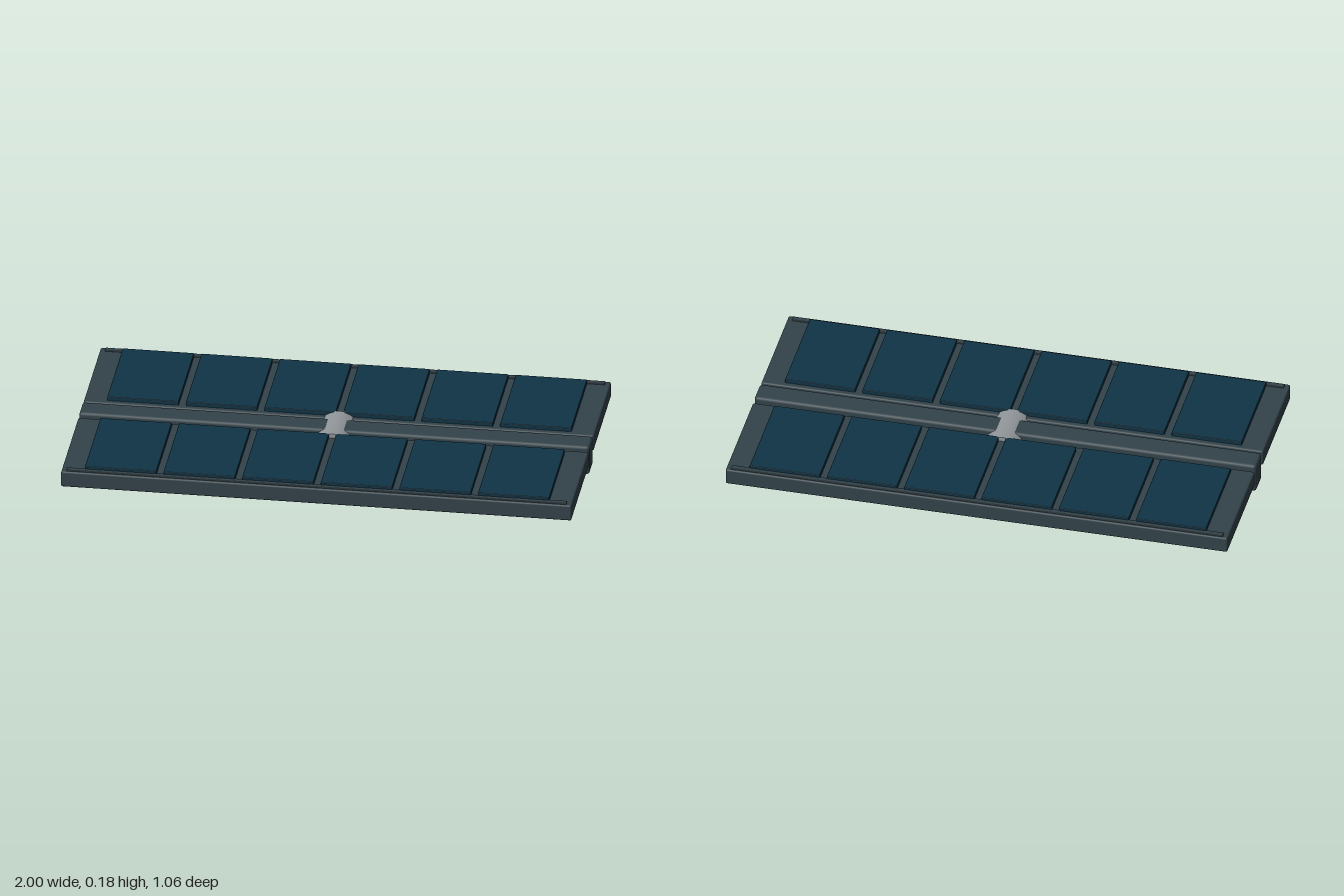
import * as THREE from 'three';
import { RoundedBoxGeometry } from 'three/addons/geometries/RoundedBoxGeometry.js';

const material = (name, color) => {
  const m = new THREE.MeshStandardMaterial({ color });
  m.name = name;
  return m;
};

export function createModel() {
  const frameGrey = material('frame slate', 0x33434a);
  const cellBlue = material('cell blue', 0x0f3446);
  const hubGrey = material('hub grey', 0x92979b);
  const model = new THREE.Group();
  model.name = 'solarArray';

  // Rounded box given by its limits on each axis
  const block = (parent, name, mat, [x0, x1], [y0, y1], [z0, z1], radius) => {
    const mesh = new THREE.Mesh(new RoundedBoxGeometry(x1 - x0, y1 - y0, z1 - z0, 2, radius), mat);
    mesh.position.set((x0 + x1) / 2, (y0 + y1) / 2, (z0 + z1) / 2);
    mesh.name = name;
    parent.add(mesh);
  };

  // Central spar
  block(model, 'spar', frameGrey, [-1, 1], [0.052, 0.174], [-0.049, 0.049], 0.012);

  // Hub drum lying along z
  const hub = new THREE.Mesh(new THREE.CylinderGeometry(0.091, 0.091, 0.196, 32), hubGrey);
  hub.name = 'hub';
  hub.rotation.x = Math.PI / 2;
  hub.position.y = 0.091;
  model.add(hub);

  // Two mirrored wings, each with a frame, an outer rail and six cells
  for (const side of [1, -1]) {
    const wing = new THREE.Group();
    wing.name = side > 0 ? 'frontWing' : 'backWing';
    model.add(wing);
    const span = (a, b) => (side > 0 ? [a, b] : [-b, -a]);
    block(wing, 'panelFrame', frameGrey, [-1, 1], [0.098, 0.164], span(0.068, 0.532), 0.007);
    block(wing, 'outerRail', frameGrey, [-0.98, 0.98], [0.155, 0.169], span(0.5, 0.524), 0.003);
    for (let i = 0; i < 6; i++) {
      const x = (i - 2.5) * 0.308;
      block(wing, 'solarCell', cellBlue, [x - 0.14, x + 0.14], [0.16, 0.18], span(0.09, 0.506), 0.003);
    }
  }
  return model;
}
